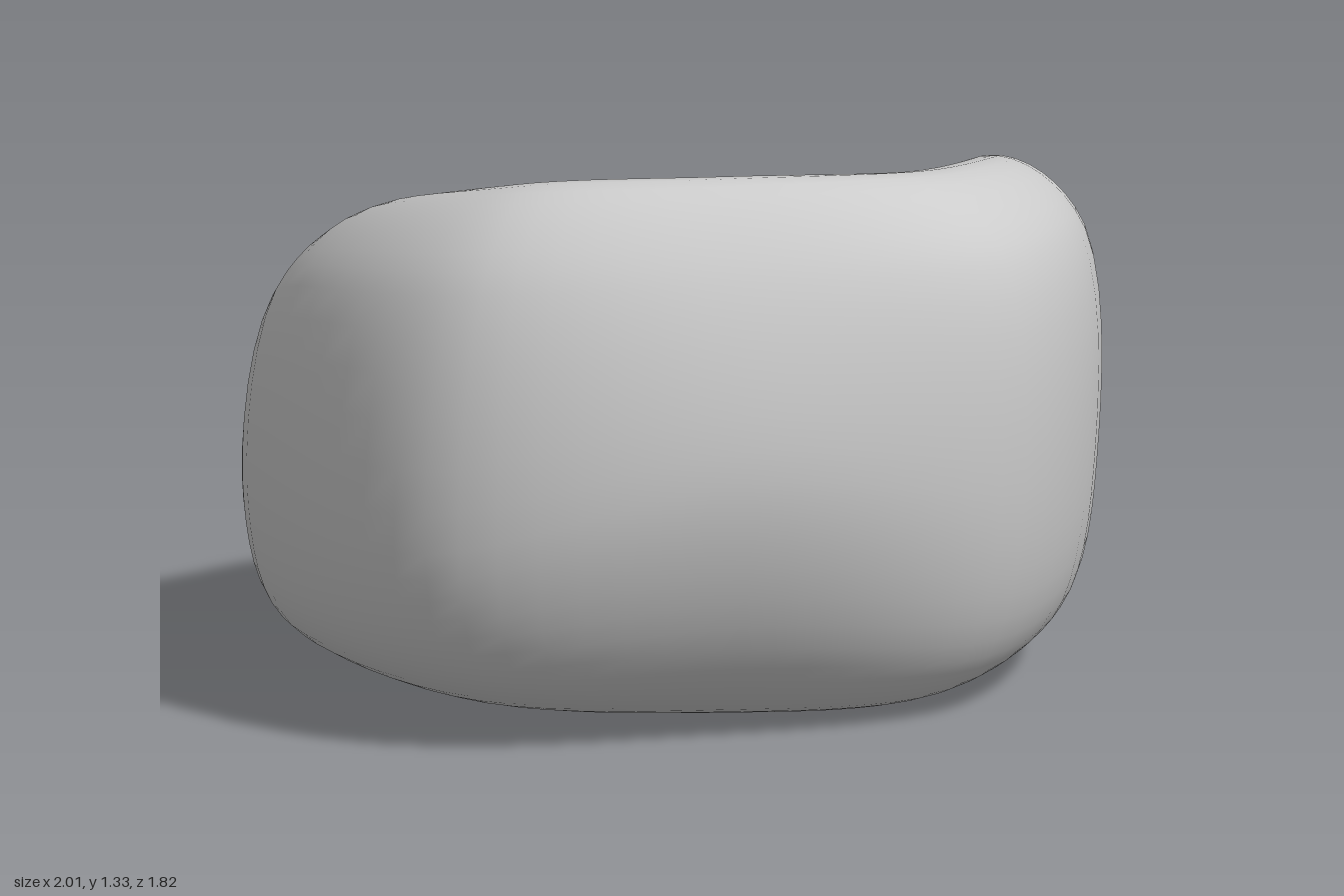
import * as THREE from 'three';
import { mergeVertices } from 'three/addons/utils/BufferGeometryUtils.js';

// Radial cross-sections every 45 degrees, starting at +x and turning toward +z.
// Each lists [radius, height] for: foot, lower edge, belly, shoulder, rim, seat hollow.
const SECTIONS = [
  [[0.70, 0.05], [0.92, 0.14], [1.00, 0.50], [0.96, 1.02], [0.77, 1.17], [0.40, 1.01]], // left
  [[0.67, 0.01], [0.87, 0.13], [0.98, 0.52], [0.92, 1.11], [0.68, 1.28], [0.40, 1.03]], // front left
  [[0.50, 0.01], [0.75, 0.17], [0.91, 0.64], [0.79, 1.14], [0.59, 1.32], [0.38, 1.15]], // front
  [[0.62, 0.04], [0.92, 0.16], [1.04, 0.46], [0.92, 1.12], [0.69, 1.30], [0.42, 1.13]], // front right
  [[0.60, 0.06], [0.91, 0.15], [1.00, 0.45], [0.92, 0.97], [0.71, 1.11], [0.35, 0.87]], // right
  [[0.60, 0.05], [0.88, 0.11], [0.98, 0.32], [0.84, 0.60], [0.62, 0.68], [0.35, 0.69]], // back right
  [[0.55, 0.04], [0.82, 0.09], [0.91, 0.29], [0.81, 0.59], [0.64, 0.78], [0.38, 0.83]], // back
  [[0.60, 0.03], [0.89, 0.10], [0.97, 0.33], [0.87, 0.76], [0.71, 0.93], [0.40, 0.94]], // back left
];
const BASE = new THREE.Vector3(0, 0.06, 0);
const SEAT = new THREE.Vector3(0, 0.79, 0);
const AROUND = 64, UP = 48;

function cushionGeometry() {
  const stations = SECTIONS[0].length;

  // Smooth closed ring through the same station of every section
  const rings = [];
  for (let s = 0; s < stations; s++) {
    const points = SECTIONS.map((section, k) => {
      const a = k * Math.PI / 4, [r, y] = section[s];
      return new THREE.Vector3(r * Math.cos(a), y, r * Math.sin(a));
    });
    rings.push(new THREE.CatmullRomCurve3(points, true, 'centripetal'));
  }
  const profile = j => rings.map(ring => ring.getPoint((j % AROUND) / AROUND));

  // Each profile continues into the opposite one, so both centres stay smooth
  const positions = [], index = [];
  for (let j = 0; j < AROUND; j++) {
    const loop = [BASE, ...profile(j), SEAT, ...profile(j + AROUND / 2).reverse()];
    const curve = new THREE.CatmullRomCurve3(loop, true, 'centripetal');
    for (let i = 0; i <= UP; i++) {
      const p = i === 0 ? BASE : i === UP ? SEAT : curve.getPoint(0.5 * i / UP);
      positions.push(p.x, p.y, p.z);
    }
  }
  for (let j = 0; j < AROUND; j++) {
    for (let i = 0; i < UP; i++) {
      const a = j * (UP + 1) + i, b = ((j + 1) % AROUND) * (UP + 1) + i;
      if (i > 0) index.push(a, a + 1, b);
      if (i < UP - 1) index.push(b, a + 1, b + 1);
    }
  }

  let geometry = new THREE.BufferGeometry();
  geometry.setAttribute('position', new THREE.Float32BufferAttribute(positions, 3));
  geometry.setIndex(index);
  geometry = mergeVertices(geometry);

  // Centre and rest on the ground
  geometry.computeBoundingBox();
  const box = geometry.boundingBox, c = box.getCenter(new THREE.Vector3());
  geometry.translate(-c.x, -box.min.y, -c.z);
  geometry.computeVertexNormals();
  return geometry;
}

export function createModel() {
  const group = new THREE.Group();
  group.name = 'beanBagSeat';
  const cushion = new THREE.Mesh(
    cushionGeometry(),
    new THREE.MeshStandardMaterial({ color: 0xcccccc }),
  );
  cushion.name = 'cushion';
  group.add(cushion);
  return group;
}
